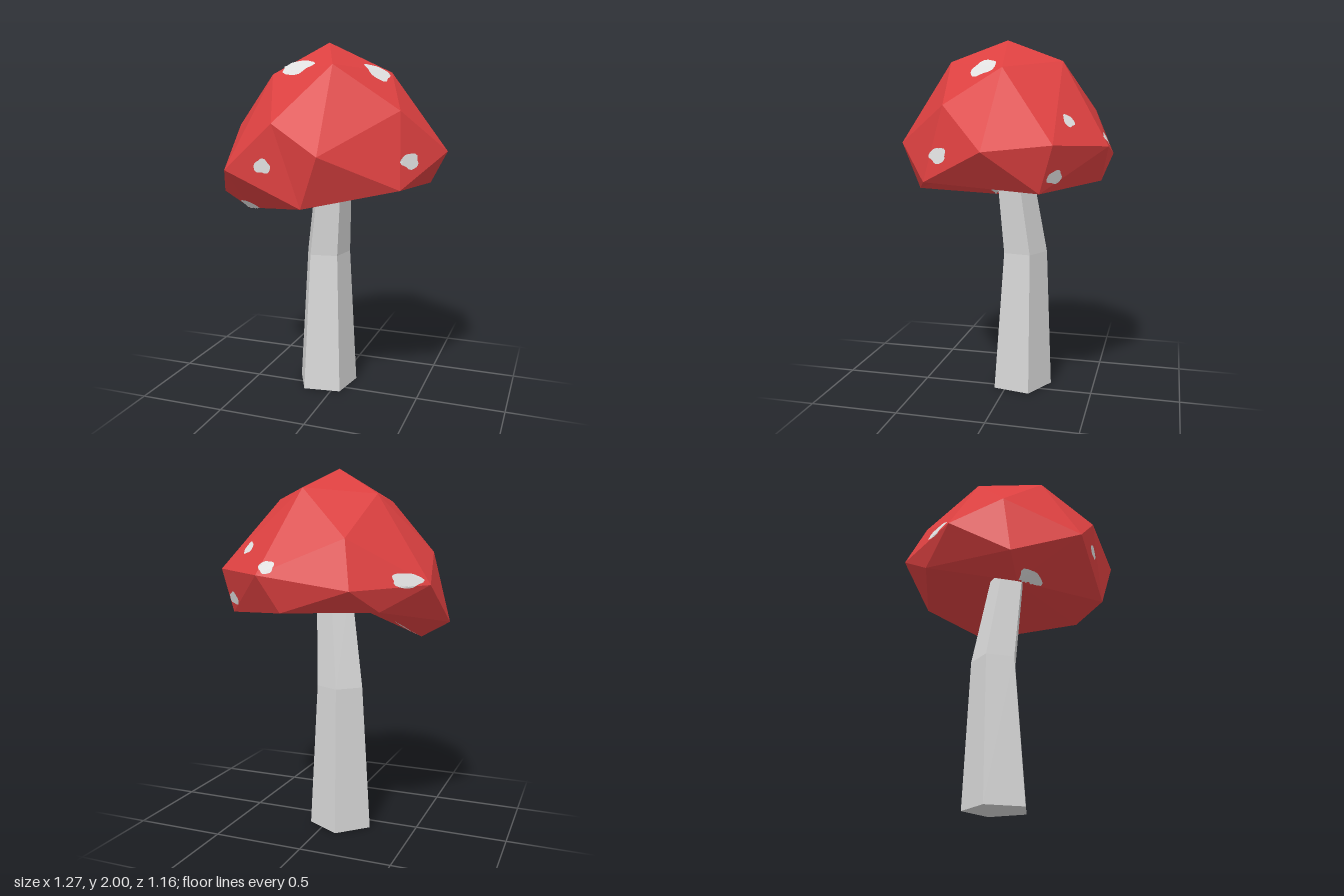
import * as THREE from 'three';

const red = new THREE.MeshStandardMaterial({ color: 0xdc4040 });
red.name = 'capRed';
const pale = new THREE.MeshStandardMaterial({ color: 0xe0e0e0 });
pale.name = 'spotWhite';
const grey = new THREE.MeshStandardMaterial({ color: 0xd6d6d6 });
grey.name = 'stemGrey';

// Faceted geometry from a list of corner triples
function faceted(triangles) {
  const g = new THREE.BufferGeometry();
  g.setAttribute('position', new THREE.Float32BufferAttribute(triangles.flat(2), 3));
  g.computeVertexNormals();
  return g;
}

function mesh(name, geometry, material) {
  const m = new THREE.Mesh(geometry, material);
  m.name = name;
  return m;
}

// Lopsided cap: apex, five-point crown, ten-point belt, ragged rim, hollow underside
function capGeometry() {
  const apex = [-0.03, 2, 0];
  const crown = [[0.09, 1.88, 0.29], [0.31, 1.84, -0.05], [0.05, 1.88, -0.32], [-0.3, 1.85, -0.15], [-0.27, 1.83, 0.22]];
  const belt = [[0.11, 1.44, 0.58], [0.63, 1.43, -0.02], [0.19, 1.44, -0.585], [-0.61, 1.39, -0.23], [-0.455, 1.34, 0.45]];
  const between = [[0.43, 1.65, 0.23], [0.52, 1.46, -0.35], [-0.24, 1.62, -0.47], [-0.555, 1.55, 0.05], [-0.16, 1.59, 0.5]];
  const lower = [[0.46, 1.26, 0.33], [0.49, 1.22, -0.28], [-0.3, 1.37, -0.57], [-0.64, 1.17, 0.105], [0, 1.17, 0.52]];
  const back = [0.08, 1.25, -0.54], backRight = [-0.4, 1.26, -0.41], droop = [-0.48, 1.08, 0.11];
  const extra = [[], [], [back], [backRight], [droop]];
  const hollow = [-0.01, 1.38, -0.02];

  const tris = [];
  for (let i = 0; i < 5; i++) {
    const j = (i + 1) % 5;
    tris.push(
      [apex, crown[i], crown[j]],
      [crown[i], between[i], crown[j]],
      [crown[i], belt[i], between[i]],
      [crown[j], between[i], belt[j]],
      [belt[i], lower[i], between[i]],
      [between[i], lower[i], belt[j]]
    );
    // fan down from each belt point to the rim
    const fan = [lower[(i + 4) % 5], ...extra[i], lower[i]];
    for (let k = 0; k + 1 < fan.length; k++) tris.push([belt[i], fan[k], fan[k + 1]]);
  }
  tris.push([lower[2], back, backRight], [lower[3], backRight, droop]);

  // underside
  const rim = [lower[4], lower[0], lower[1], back, backRight, droop];
  rim.forEach((p, i) => tris.push([hollow, rim[(i + 1) % rim.length], p]));
  return faceted(tris);
}

// Five-sided bent, tapering stem
function stemGeometry() {
  const sections = [
    { x: -0.075, y: 0, z: -0.068, r: 0.182 },
    { x: -0.075, y: 0.81, z: -0.085, r: 0.134 },
    { x: -0.01, y: 1.4, z: -0.02, r: 0.102 }
  ];
  const g = new THREE.CylinderGeometry(1, 1, 2, 5, 2, false, THREE.MathUtils.degToRad(44)).toNonIndexed();
  const pos = g.attributes.position;
  for (let i = 0; i < pos.count; i++) {
    const s = sections[Math.round(pos.getY(i)) + 1];
    pos.setXYZ(i, s.x + pos.getX(i) * s.r, s.y, s.z + pos.getZ(i) * s.r);
  }
  g.computeVertexNormals();
  return g;
}

// Thin ragged patch draped over the cap around a point
function spotGeometry(cap, at, width, height, seed) {
  const core = new THREE.Vector3(0, 1.42, 0);
  const ray = new THREE.Raycaster();
  const drape = (p) => {
    const dir = p.clone().sub(core).normalize();
    ray.set(core.clone().addScaledVector(dir, 3), dir.clone().negate());
    return { hit: ray.intersectObject(cap)[0], dir };
  };
  const { hit } = drape(new THREE.Vector3(...at));
  const n = hit.face.normal.clone();
  const u = new THREE.Vector3(0, 1, 0).cross(n).normalize();
  const v = n.clone().cross(u);

  const sides = 20, rings = 4;
  const point = (ring, k) => {
    const t = (k % sides) / sides * Math.PI * 2;
    const r = ring / rings * (1 + 0.1 * Math.sin(3 * t + seed) + 0.07 * Math.sin(5 * t + 2 * seed));
    const p = hit.point.clone()
      .addScaledVector(u, width * r * Math.cos(t))
      .addScaledVector(v, height * r * Math.sin(t));
    const d = drape(p);
    return (d.hit ? d.hit.point : p).clone().addScaledVector(d.dir, 0.006).toArray();
  };
  const tris = [];
  for (let ring = 0; ring < rings; ring++) {
    for (let k = 0; k < sides; k++) {
      const a = point(ring, k), b = point(ring + 1, k), c = point(ring + 1, k + 1), d = point(ring, k + 1);
      tris.push([a, b, c]);
      if (ring > 0) tris.push([a, c, d]);
    }
  }
  return faceted(tris);
}

export function createModel() {
  const model = new THREE.Group();
  model.name = 'mushroom';

  const cap = mesh('cap', capGeometry(), red);
  model.add(cap, mesh('stem', stemGeometry(), grey));

  // Spots: centre, half width, half height
  const spots = [
    [[-0.125, 1.85, 0.21], 0.1, 0.068],
    [[0.26, 1.84, 0.06], 0.07, 0.075],
    [[-0.21, 1.375, 0.48], 0.05, 0.036],
    [[0.485, 1.4, 0.24], 0.062, 0.04],
    [[-0.44, 1.105, 0.17], 0.08, 0.05],
    [[0.32, 1.57, -0.39], 0.036, 0.036],
    [[0.45, 1.3, -0.35], 0.05, 0.035],
    [[0.14, 1.48, -0.57], 0.042, 0.036],
    [[-0.51, 1.415, -0.32], 0.088, 0.04]
  ];
  const group = new THREE.Group();
  group.name = 'spots';
  spots.forEach(([at, w, h], i) => group.add(mesh('spot' + (i + 1), spotGeometry(cap, at, w, h, i * 1.7), pale)));
  model.add(group);
  return model;
}
